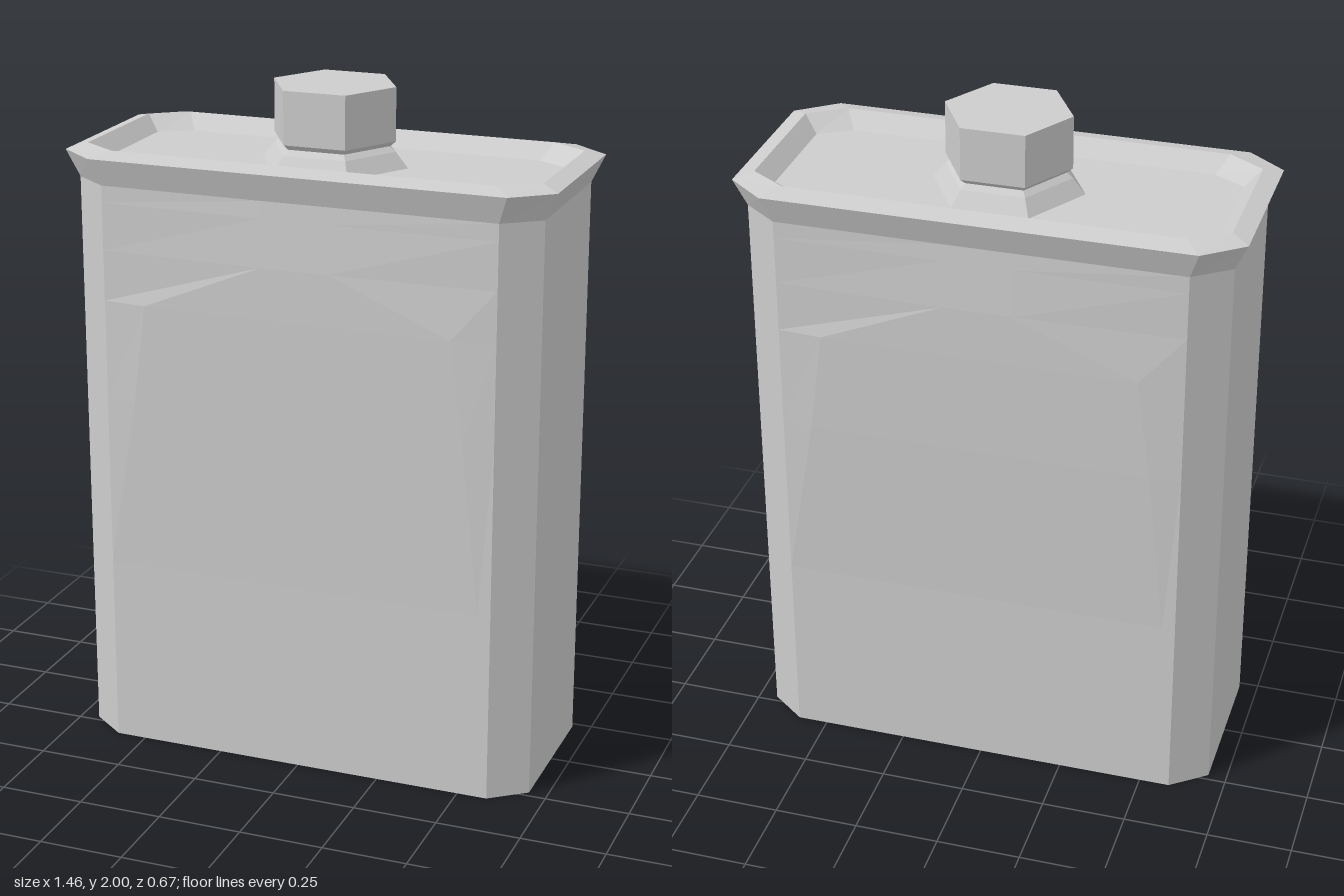
import * as THREE from 'three';

// Octagonal ring: chamfer runs from (xo, zi) to (xi, zo).
// Optional bulge point (bx, bz) adds two points across each broad face.
function ring(y, xo, zi, xi, zo, bx, bz) {
  const half = [[xi, zo]];
  half.push([xo, zi]);
  half.push([xo, -zi]);
  half.push([xi, -zo]);
  const front = [[-xi, zo]];
  const back = [];
  if (bx !== undefined) {
    front.push([-bx, bz], [bx, bz]);
    back.push([bx, -bz], [-bx, -bz]);
  }
  return [...front, ...half, ...back, [-xi, -zo], [-xo, -zi], [-xo, zi]]
    .map(([x, z]) => new THREE.Vector3(x, y, z));
}

// Skin a stack of rings, with optional flat ends.
function loft(rings, capBottom, capTop) {
  const pos = [];
  const tri = (...pts) => pts.forEach((p) => pos.push(p.x, p.y, p.z));
  for (let r = 0; r < rings.length - 1; r++) {
    const a = rings[r], b = rings[r + 1], n = a.length;
    for (let i = 0; i < n; i++) {
      const j = (i + 1) % n;
      tri(a[i], a[j], b[j]);
      tri(a[i], b[j], b[i]);
    }
  }
  const first = rings[0], last = rings[rings.length - 1];
  for (let i = 1; i < first.length - 1; i++) {
    if (capBottom) tri(first[0], first[i + 1], first[i]);
    if (capTop) tri(last[0], last[i], last[i + 1]);
  }
  const geo = new THREE.BufferGeometry();
  geo.setAttribute('position', new THREE.Float32BufferAttribute(pos, 3));
  geo.computeVertexNormals();
  return geo;
}

// Six-sided turned part with corners on the x axis.
function hexTurned(profile) {
  return new THREE.LatheGeometry(profile.map(([r, y]) => new THREE.Vector2(r, y)), 6)
    .rotateY(Math.PI / 2);
}

export function createModel() {
  const group = new THREE.Group();
  const metal = new THREE.MeshStandardMaterial({ color: 0xcccccc });
  metal.name = 'plain grey metal';
  metal.flatShading = true;
  const add = (name, geo) => {
    const mesh = new THREE.Mesh(geo, metal);
    mesh.name = name;
    group.add(mesh);
  };

  // Can body with gently swollen broad faces: [y, bulge x, bulge z]
  const rows = [
    [0, 0.55, 0.31], [0.57, 0.55, 0.31], [1.08, 0.5, 0.319], [1.38, 0.46, 0.321],
    [1.53, 0.1, 0.32], [1.67, 0.1, 0.313], [1.72, 0.1, 0.31],
  ];
  add('canBody', loft(rows.map(([y, bx, bz]) => ring(y, 0.695, 0.23, 0.59, 0.31, bx, bz)), true, false));

  // Flared rim, folding inward to the sunken lid
  add('rimAndLid', loft([
    ring(1.72, 0.695, 0.23, 0.59, 0.31),
    ring(1.8, 0.732, 0.245, 0.618, 0.336),
    ring(1.815, 0.68, 0.205, 0.572, 0.276),
    ring(1.77, 0.635, 0.17, 0.54, 0.226),
  ], false, true));

  // Spout collar
  add('spoutCollar', hexTurned([[0.222, 1.77], [0.185, 1.815], [0.165, 1.83]]));

  // Hexagonal screw cap
  add('screwCap', hexTurned([[0, 1.83], [0.168, 1.83], [0.185, 1.845], [0.185, 2], [0, 2]]));

  return group;
}
